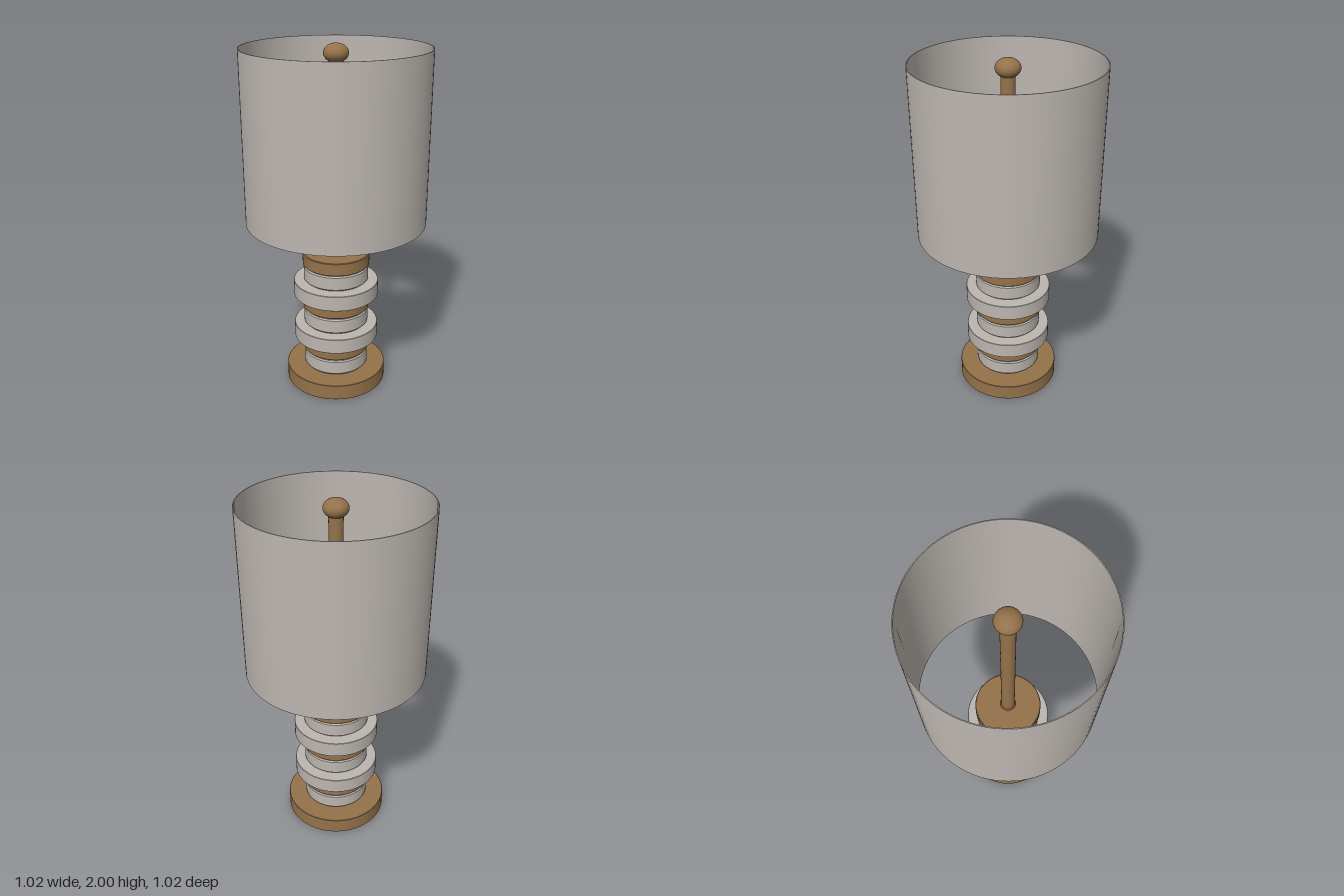
import * as THREE from 'three';

export function createModel() {
  const lamp = new THREE.Group();
  lamp.name = 'tableLamp';
  const wood = new THREE.MeshStandardMaterial({ name: 'warm brown', color: 0x94724a });
  const stone = new THREE.MeshStandardMaterial({ name: 'pale grey', color: 0xbcb6b0 });
  const linen = new THREE.MeshStandardMaterial({ name: 'shade grey', color: 0xbcb6b0, side: THREE.DoubleSide });

  const add = (name, geometry, material, y = 0) => {
    const mesh = new THREE.Mesh(geometry, material);
    mesh.name = name;
    mesh.position.y = y;
    lamp.add(mesh);
    return mesh;
  };

  // Disc with a small chamfer; each profile segment is its own band so edges stay crisp
  const disc = (name, r, y0, y1, material, c) => {
    const group = new THREE.Group();
    group.name = name;
    const profile = [[0, y0], [r - c, y0], [r, y0 + c], [r, y1 - c], [r - c, y1], [0, y1]];
    for (let i = 0; i < profile.length - 1; i++) {
      const pts = [profile[i], profile[i + 1]].map(([x, y]) => new THREE.Vector2(x, y));
      const band = new THREE.Mesh(new THREE.LatheGeometry(pts, 64), material);
      band.name = name + 'Band';
      group.add(band);
    }
    lamp.add(group);
  };

  // Foot and the stacked body
  disc('foot', 0.295, 0, 0.093, wood, 0.002);
  const stack = [
    ['greyDisc', 0.189, 0.101, 0.191, stone, 0.007],
    ['brownDisc', 0.194, 0.198, 0.274, wood, 0.007],
    ['wideDisc', 0.247, 0.281, 0.371, stone, 0.002],
    ['greyDisc', 0.189, 0.378, 0.468, stone, 0.007],
    ['brownDisc', 0.194, 0.474, 0.551, wood, 0.007],
    ['wideDisc', 0.247, 0.557, 0.648, stone, 0.002],
    ['greyDisc', 0.189, 0.654, 0.743, stone, 0.007],
    ['brownDisc', 0.194, 0.749, 0.826, wood, 0.004],
  ];
  stack.forEach((d) => disc(...d));

  // Core seen in the narrow gaps between the discs
  add('core', new THREE.CylinderGeometry(0.175, 0.175, 0.7, 64, 1, true), wood, 0.42);

  // Stem, collar and finial
  add('stem', new THREE.CylinderGeometry(0.039, 0.039, 1.1, 40), wood, 1.37);
  const collar = add('collar', new THREE.TorusGeometry(0.033, 0.012, 12, 40), wood, 0.845);
  collar.rotation.x = Math.PI / 2;
  const finial = add('finial', new THREE.SphereGeometry(0.068, 40, 24), wood, 1.949);
  finial.scale.y = 0.75;

  // Open drum shade with thin walls
  const wall = [0.51, 0.505].map((r) => new THREE.CylinderGeometry(r, r, 0.962, 96, 1, true));
  add('shadeOuter', wall[0], linen, 1.499);
  add('shadeInner', wall[1], linen, 1.499);
  for (const y of [1.018, 1.98]) {
    const rim = add('shadeRim', new THREE.RingGeometry(0.505, 0.51, 96), linen, y);
    rim.rotation.x = -Math.PI / 2;
  }
  return lamp;
}
